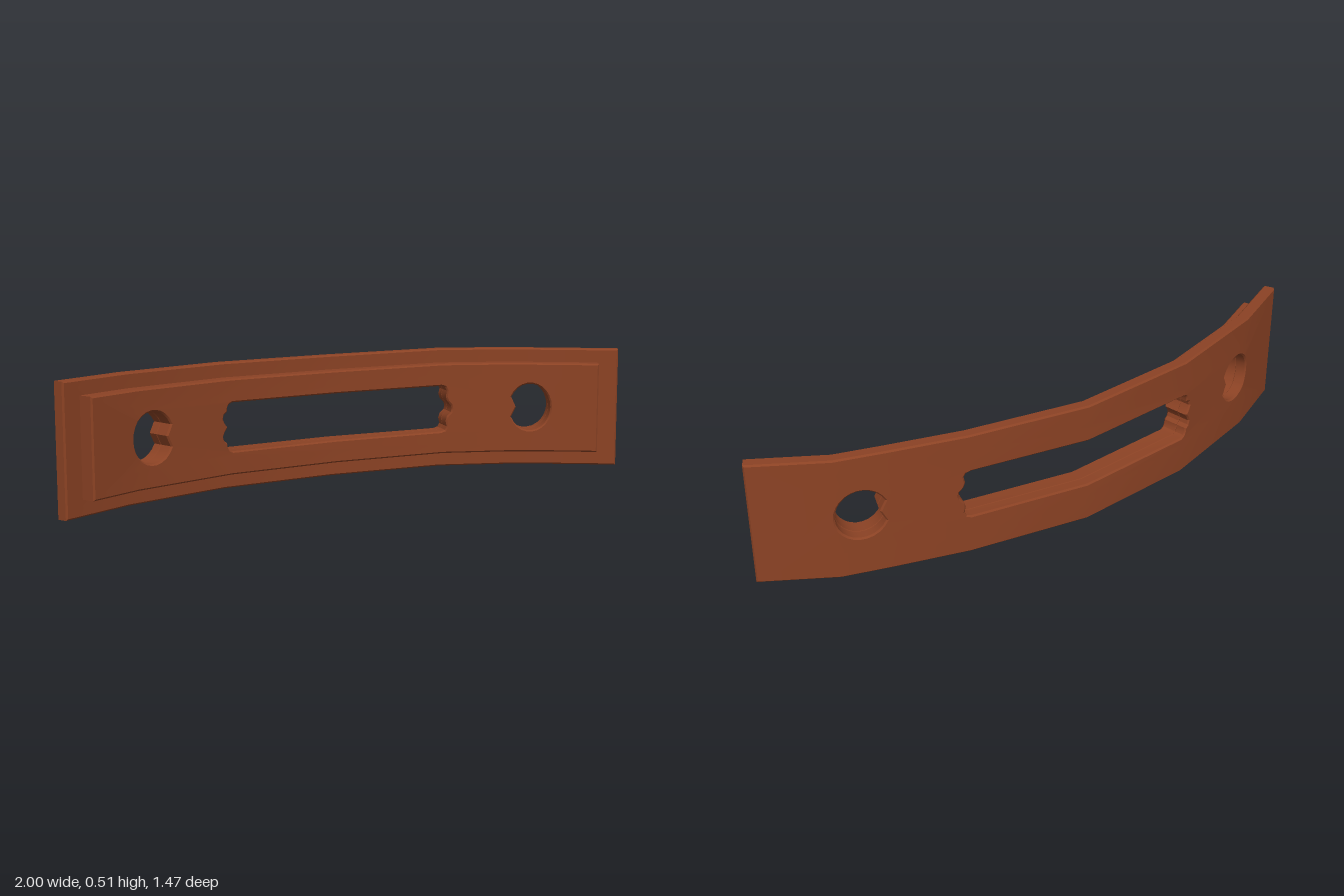
import * as THREE from 'three';
import { toCreasedNormals } from 'three/addons/utils/BufferGeometryUtils.js';

// Bend line seen from above: [x, z, lift], from the right end to the left end
const PATH = [
  [-0.955, 0.735, 0], [-0.815, 0.45, 0], [-0.545, 0.075, 0], [-0.175, -0.26, 0],
  [0.25, -0.495, 0.01], [0.53, -0.6, 0.007], [0.7, -0.655, 0.002], [1.0, -0.69, 0],
];
const seg = PATH.slice(1).map((p, i) => {
  const dx = p[0] - PATH[i][0], dz = p[1] - PATH[i][1], len = Math.hypot(dx, dz);
  return { len, nx: -dz / len, nz: dx / len };
});
const along = [0];
seg.forEach((s) => along.push(along[along.length - 1] + s.len));
const LENGTH = along[along.length - 1];
const MID = LENGTH / 2;

// Mitred normal at every bend
const mitre = PATH.map((_, i) => {
  const a = seg[Math.max(i - 1, 0)], b = seg[Math.min(i, seg.length - 1)];
  const k = 1 + a.nx * b.nx + a.nz * b.nz;
  return [(a.nx + b.nx) / k, (a.nz + b.nz) / k];
});

// Flat (length, height, depth) to the bent position
function bend([u, y, d]) {
  let i = 0;
  while (i < seg.length - 1 && u > along[i + 1]) i++;
  const t = (u - along[i]) / seg[i].len;
  const mix = (a, b) => a + (b - a) * t;
  const p = PATH[i], q = PATH[i + 1], m = mitre[i], n = mitre[i + 1];
  return [mix(p[0], q[0]) + d * mix(m[0], n[0]), y + mix(p[2], q[2]), mix(p[1], q[1]) + d * mix(m[1], n[1])];
}

// Cut one triangle along u = c
function cut(tri, c) {
  const out = [];
  for (const side of [1, -1]) {
    const poly = [];
    tri.forEach((a, i) => {
      const b = tri[(i + 1) % 3], da = (a[0] - c) * side, db = (b[0] - c) * side;
      if (da >= 0) poly.push(a);
      if (da * db < 0) {
        const t = da / (da - db);
        poly.push([c, a[1] + (b[1] - a[1]) * t, a[2] + (b[2] - a[2]) * t]);
      }
    });
    if (!poly.some((p) => (p[0] - c) * side > 1e-7)) continue;
    for (let i = 1; i < poly.length - 1; i++) out.push([poly[0], poly[i], poly[i + 1]]);
  }
  return out;
}

// Round hole with a notch facing the middle of the plate
function notchedHole(dir) {
  const cx = MID + dir * 0.883, pts = [];
  for (let i = 0; i <= 22; i++) {
    const a = -2.7 + (5.4 * i) / 22;
    pts.push(new THREE.Vector2(cx + dir * 0.094 * Math.cos(a), 0.257 + 0.1 * Math.sin(a)));
  }
  pts.push(new THREE.Vector2(cx - dir * 0.064, 0.257));
  return new THREE.Path(pts);
}

// Long slot: two lobes at one end, a point at the other
function slot() {
  const half = [
    [0.76, 0], [0.745, 0.018], [0.737, 0.036], [0.742, 0.052], [0.758, 0.062], [0.76, 0.078], [0.767, 0.09],
    [0.785, 0.097], [1.755, 0.097], [1.774, 0.091], [1.782, 0.076], [1.777, 0.052], [1.783, 0.032], [1.8, 0.015], [1.803, 0],
  ];
  const lower = half.slice(1, -1).reverse().map(([u, v]) => [u, -v]);
  return new THREE.Path([...half, ...lower].map(([u, v]) => new THREE.Vector2(u, 0.255 + v)));
}

// Pierced plate, extruded flat, cut at the bends and then bent
function plate(name, u0, u1, y0, y1, d0, d1, material) {
  const shape = new THREE.Shape();
  shape.moveTo(u0, y0).lineTo(u1, y0).lineTo(u1, y1).lineTo(u0, y1).closePath();
  shape.holes.push(notchedHole(-1), slot(), notchedHole(1));
  const b = 0.006;
  const flat = new THREE.ExtrudeGeometry(shape, {
    depth: d1 - d0 - 2 * b, bevelEnabled: true, bevelSize: b, bevelThickness: b, bevelOffset: -b, bevelSegments: 1,
  }).translate(0, 0, d0 + b);
  const raw = flat.index ? flat.toNonIndexed() : flat;
  const pos = raw.attributes.position;
  let tris = [];
  for (let i = 0; i < pos.count; i += 3) {
    tris.push([0, 1, 2].map((k) => [pos.getX(i + k), pos.getY(i + k), pos.getZ(i + k)]));
  }
  along.slice(1, -1).forEach((c) => { tris = tris.flatMap((t) => cut(t, c)); });
  const geo = new THREE.BufferGeometry();
  geo.setAttribute('position', new THREE.Float32BufferAttribute(tris.flat().flatMap(bend), 3));
  geo.computeVertexNormals();
  const mesh = new THREE.Mesh(toCreasedNormals(geo, 0.5), material);
  mesh.name = name;
  return mesh;
}

export function createModel() {
  const group = new THREE.Group();
  group.name = 'curvedPiercedPlate';
  const brown = new THREE.MeshStandardMaterial({ color: 0x8b4224 });
  brown.name = 'rust brown';
  group.add(
    plate('backPlate', 0, LENGTH, 0, 0.503, -0.05, 0, brown),
    plate('frontPlate', 0.08, 2.455, 0.065, 0.445, -0.008, 0.06, brown),
  );
  return group;
}
